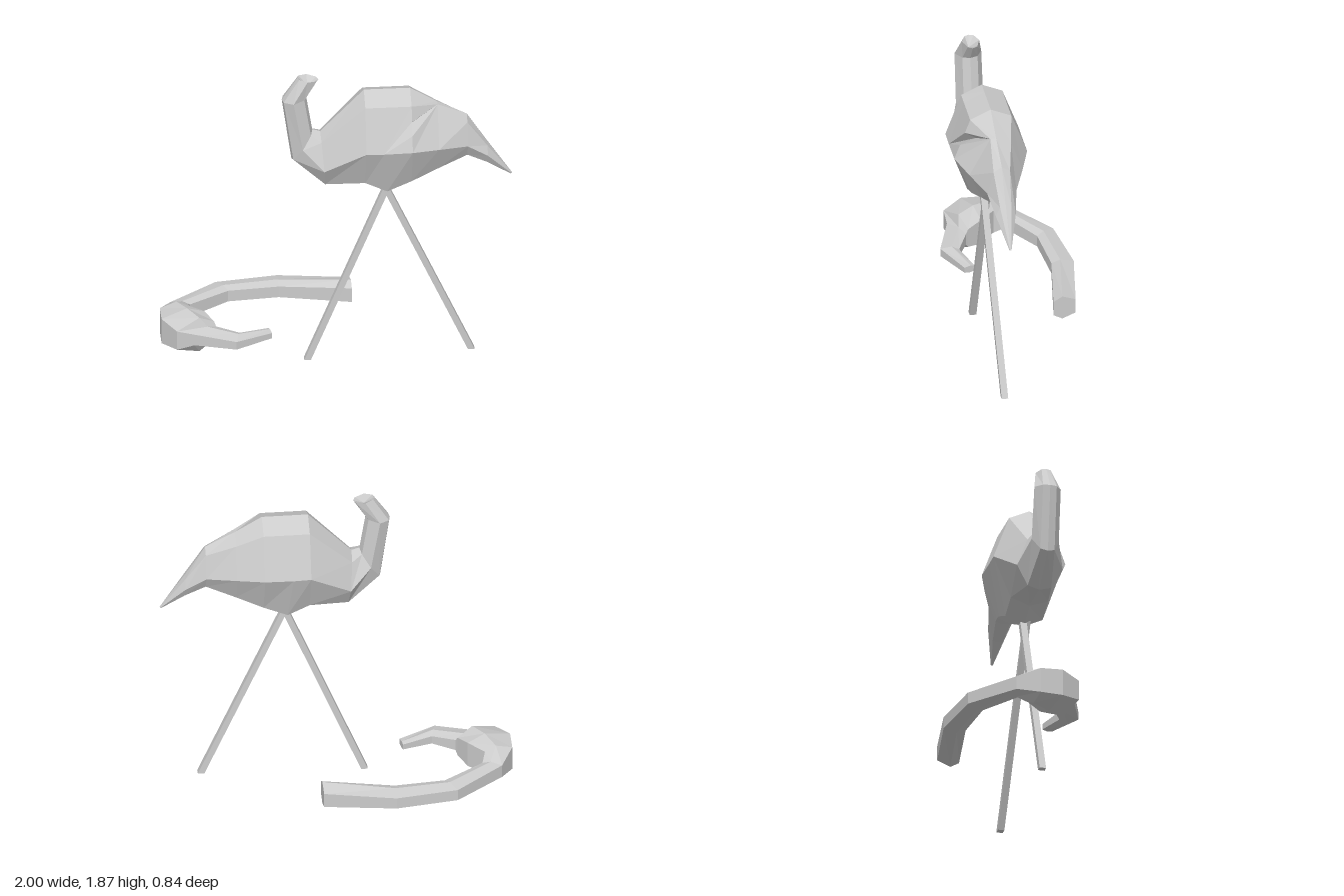
import * as THREE from 'three';

const mat = new THREE.MeshStandardMaterial({ color: 0xcccccc, flatShading: true });
const mix = (a, b, t) => a.map((v, c) => v + (b[c] - v) * t);

// Skin a list of equal-length rings of [x, y, z] points, closing both ends with fans
function loft(name, rings, startDip = 0) {
  const n = rings[0].length;
  const pos = [];
  const tri = (a, b, c) => pos.push(...a, ...b, ...c);
  const centre = (r) => [0, 1, 2].map((c) => r.reduce((s, p) => s + p[c], 0) / n);
  const first = rings[0], last = rings[rings.length - 1];
  const c0 = centre(first), c1 = centre(last);
  c0[1] -= startDip;
  for (let j = 0; j < n; j++) {
    const k = (j + 1) % n;
    for (let i = 0; i < rings.length - 1; i++) {
      const a = rings[i], b = rings[i + 1];
      tri(a[j], a[k], b[j]);
      tri(a[k], b[k], b[j]);
    }
    tri(c0, first[k], first[j]);
    tri(c1, last[j], last[k]);
  }
  const geo = new THREE.BufferGeometry();
  geo.setAttribute('position', new THREE.Float32BufferAttribute(pos, 3));
  geo.computeVertexNormals();
  const mesh = new THREE.Mesh(geo, mat);
  mesh.name = name;
  return mesh;
}

// Body with neck stump, from neck end to tail tip.
// [ridge x, ridge y, keel x, keel y, half width, height fraction of the widest point]
const FOLD = 6;
function makeBody() {
  const rows = [
    [-0.11, 1.85, -0.23, 1.866, 0.05, 0.45],
    [-0.18, 1.74, -0.32, 1.725, 0.078, 0.45],
    [-0.145, 1.52, -0.265, 1.335, 0.08, 0.5],
    [-0.1, 1.507, -0.075, 1.175, 0.135, 0.41],
    [0.15, 1.77, 0.15, 1.175, 0.212, 0.48],
    [0.225, 1.77, 0.28, 1.105, 0.212, 0.53],
    [0.415, 1.77, 0.415, 1.175, 0.212, 0.48],
    [0.57, 1.675, 0.57, 1.25, 0.155, 0.45],
    [0.74, 1.585, 0.74, 1.325, 0.085, 0.35],
    [0.855, 1.4, 0.86, 1.265, 0.058, 0.5],
    [1, 1.185, 0.99, 1.178, 0.006, 0.5],
  ];
  const z = 0.205;
  const rings = rows.map(([tx, ty, kx, ky, w, s], i) => {
    const top = [tx, ty, z], keel = [kx, ky, z];
    const mid = mix(keel, top, s);
    // point on the flank a fraction f of the way from ridge or keel to the widest point
    const flank = (end, f, side) => {
      const [x, y] = mix(end, mid, f);
      return [x, y, z + side * w * Math.cbrt(f)];
    };
    // the wing fold opens on the +z flank and runs up to the ridge behind it
    const shoulder = flank(top, i === FOLD + 1 ? 0.01 : 0.18, 1);
    const side = flank(top, 1, 1);
    const steps = i < FOLD ? [1, 1, 1] : i > FOLD ? [0, 0, 0] : [0.33, 0.5, 0.64];
    const fold = steps.map((t) => mix(shoulder, side, t));
    if (i === FOLD) fold[1][2] -= 0.08;
    return [top, shoulder, ...fold, side, flank(keel, 0.14, 1),
      keel, flank(keel, 0.14, -1), flank(top, 1, -1), flank(top, 0.18, -1)];
  });
  return loft('body', rings, 0.04);
}

// Loose curled neck, head and beak lying flat, as six-sided rings.
// [outer x, outer z, inner x, inner z, ridge half height, edge half height]
function makeNeckAndHead() {
  const rows = [
    [0.11, -0.35, 0.115, -0.22, 0.075, 0.045],
    [-0.3, -0.42, -0.3, -0.29, 0.053, 0.035],
    [-0.655, -0.37, -0.59, -0.265, 0.05, 0.035],
    [-0.93, -0.155, -0.82, -0.12, 0.055, 0.04],
    // head
    [-1, -0.03, -0.84, -0.06, 0.105, 0.075],
    [-1, 0.1, -0.75, 0.03, 0.12, 0.08],
    [-0.92, 0.215, -0.7, 0.115, 0.11, 0.06],
    // beak
    [-0.82, 0.215, -0.69, 0.13, 0.055, 0.035],
    [-0.585, 0.3, -0.56, 0.195, 0.042, 0.025],
    [-0.375, 0.2, -0.39, 0.14, 0.023, 0.017],
  ];
  const y = 0.162;
  return loft('fallenNeckAndHead', rows.map(([ox, oz, ix, iz, h, e]) => {
    const [rx, rz] = mix([ix, iz], [ox, oz], 0.4);
    return [[ix, y + e, iz], [rx, y + h, rz], [ox, y + e, oz],
      [ox, y - e, oz], [rx, y - h, rz], [ix, y - e, iz]];
  }));
}

// Thin square leg from hip to foot
function makeLeg(name, hip, foot) {
  const r = 0.019;
  const square = ([x, y, z]) => [[x + r, y, z + r], [x + r, y, z - r], [x - r, y, z - r], [x - r, y, z + r]];
  return loft(name, [square(foot), square(hip)]);
}

export function createModel() {
  const group = new THREE.Group();
  group.name = 'bird';
  group.add(
    makeBody(),
    makeNeckAndHead(),
    makeLeg('rightLeg', [0.285, 1.13, 0.2], [-0.172, 0, 0.195]),
    makeLeg('leftLeg', [0.275, 1.13, 0.222], [0.765, 0.03, 0.195]),
  );
  return group;
}
